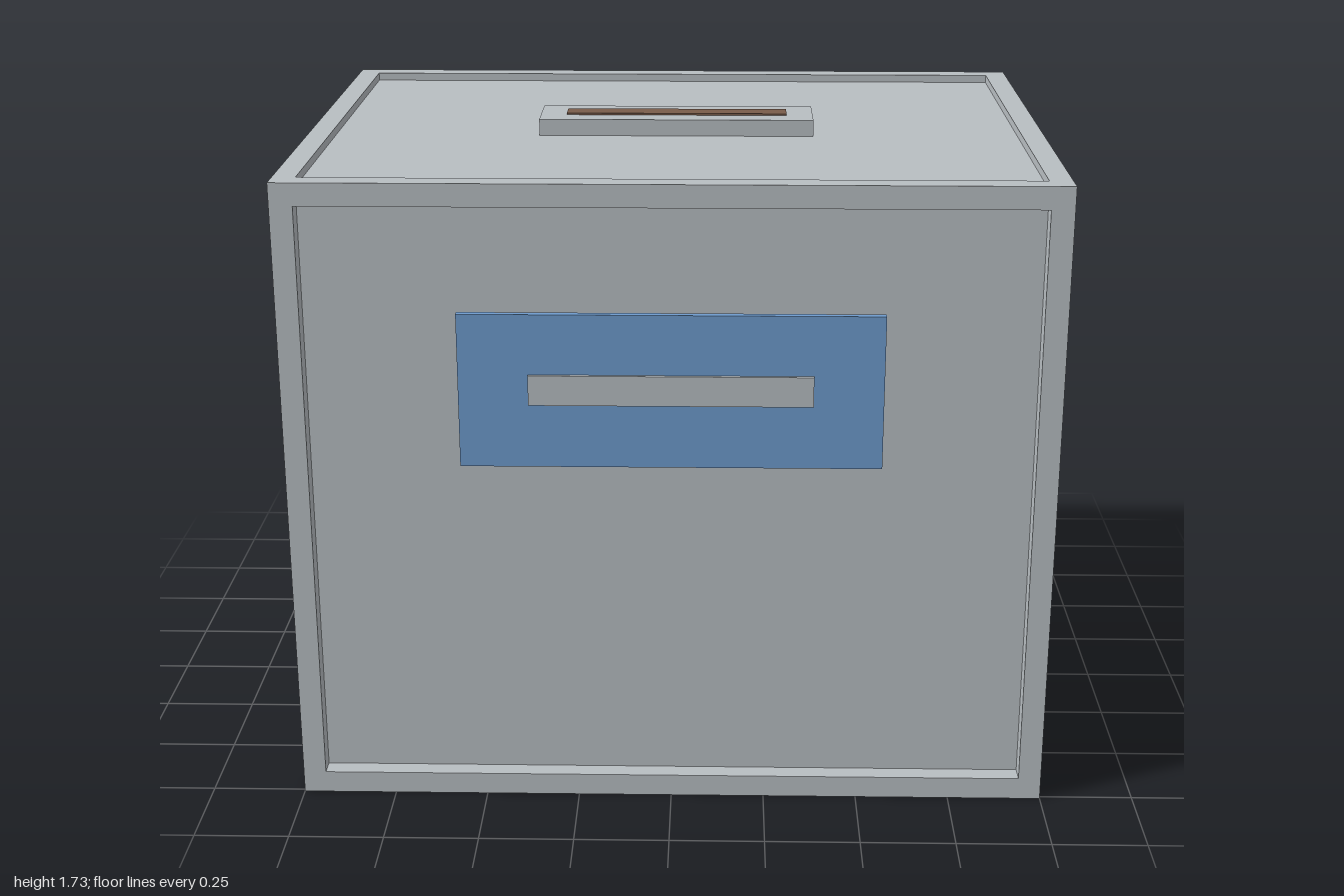
import * as THREE from 'three';

const W = 2, H = 1.7, D = 1.52, T = 0.06;

export function createModel() {
  const model = new THREE.Group();
  model.name = 'slottedBox';

  const material = (name, color) => {
    const m = new THREE.MeshStandardMaterial({ color });
    m.name = name;
    return m;
  };
  const grey = material('paleGrey', 0xb8bec2);
  const blue = material('labelBlue', 0x6e9bcd);
  const brown = material('slotBrown', 0x7a5d4b);

  const box = (name, mat, size, pos, parent = model) => {
    const mesh = new THREE.Mesh(new THREE.BoxGeometry(...size), mat);
    mesh.name = name;
    mesh.position.set(...pos);
    parent.add(mesh);
    return mesh;
  };

  // Recessed panels: shallow at top and bottom, deeper on the four sides
  const top = H - 0.022, bottom = 0.022;
  box('panels', grey, [W - 0.1, top - bottom, D - 0.1], [0, (top + bottom) / 2, 0]);

  // Square-section frame along all twelve edges, butted at the corners
  const frame = new THREE.Group();
  frame.name = 'frame';
  model.add(frame);
  const x = (W - T) / 2, y = (H - T) / 2, z = (D - T) / 2;
  for (const a of [-1, 1]) {
    for (const b of [-1, 1]) {
      box('widthRail', grey, [W, T, T], [0, H / 2 + a * y, b * z], frame);
      box('cornerPost', grey, [T, H - 2 * T, T], [a * x, H / 2, b * z], frame);
      box('depthRail', grey, [T, T, D - 2 * T], [a * x, H / 2 + b * y, 0], frame);
    }
  }

  // Front label with a raised bar
  box('frontLabel', blue, [1.09, 0.41, 0.02], [0, 1.155, 0.741]);
  box('labelBar', grey, [0.73, 0.08, 0.012], [0, 1.16, 0.754]);

  // Top slot plate with the dark slot on it
  box('slotPlate', grey, [0.755, 1.723 - top, 0.19], [0, (1.723 + top) / 2, 0]);
  box('slot', brown, [0.61, 0.008, 0.064], [0, 1.724, 0]);

  return model;
}
